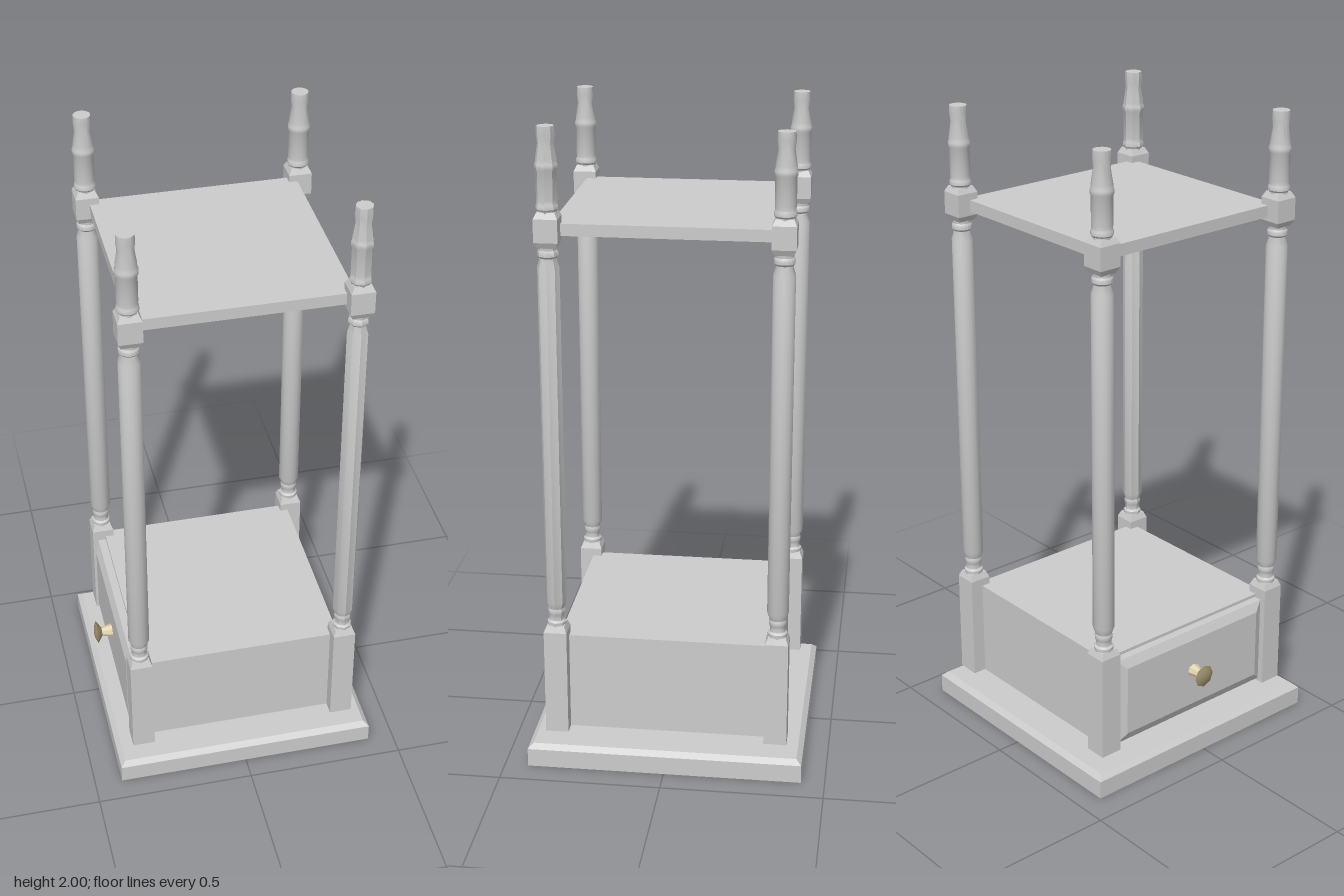
import * as THREE from 'three';
import { toCreasedNormals } from 'three/addons/utils/BufferGeometryUtils.js';

const grey = new THREE.MeshStandardMaterial({ color: 0xcccccc });
const cream = new THREE.MeshStandardMaterial({ color: 0xe0d2ac });
const brass = new THREE.MeshStandardMaterial({ color: 0xa0916c });

function add(parent, name, geometry, material = grey) {
  const mesh = new THREE.Mesh(geometry, material);
  mesh.name = name;
  parent.add(mesh);
  return mesh;
}

// Box between two heights whose top and bottom edges are bevelled.
// Bevels are [inset, height]; zero means a square edge.
function bevelBox(w, y0, y1, d, top = [0, 0], bottom = [0, 0]) {
  const geo = new THREE.BoxGeometry(w, 1, d, 1, 3, 1);
  const p = geo.attributes.position;
  const levels = [y0, y0 + bottom[1], y1 - top[1], y1];
  const insets = [bottom[0], 0, 0, top[0]];
  for (let i = 0; i < p.count; i++) {
    const k = Math.round((p.getY(i) + 0.5) * 3);
    p.setXYZ(i,
      p.getX(i) - Math.sign(p.getX(i)) * insets[k],
      levels[k],
      p.getZ(i) - Math.sign(p.getZ(i)) * insets[k]);
  }
  return toCreasedNormals(geo, 0.3);
}

function turned(profile, sides) {
  const points = profile.map(([r, y]) => new THREE.Vector2(r, y));
  return toCreasedNormals(new THREE.LatheGeometry(points, sides), 0.6);
}

// Turned column between the square blocks
const SHAFT = [
  [0.028, 0.45], [0.030, 0.462], [0.030, 0.468], [0.024, 0.474], [0.023, 0.488],
  [0.027, 0.496], [0.027, 0.506], [0.025, 0.512], [0.033, 0.535],
  [0.033, 1.59], [0.026, 1.612], [0.026, 1.618], [0.031, 1.624], [0.031, 1.636],
  [0.027, 1.642], [0.028, 1.66],
];
// Turned finial above the upper block
const FINIAL = [
  [0.028, 1.74], [0.029, 1.757], [0.033, 1.762], [0.033, 1.772], [0.030, 1.778],
  [0.031, 1.79], [0.031, 1.872], [0.034, 1.878], [0.034, 1.890], [0.031, 1.897],
  [0.031, 1.905], [0.024, 1.95], [0.027, 1.975], [0.026, 2.0], [0, 2.0],
];

function createPost(sides) {
  const post = new THREE.Group();
  post.name = 'cornerPost';
  add(post, 'legBlock', bevelBox(0.071, 0.10, 0.458, 0.071, [0.008, 0.02]));
  add(post, 'shaft', turned(SHAFT, sides));
  add(post, 'shelfBlock', bevelBox(0.071, 1.65, 1.755, 0.071, [0.009, 0.018], [0.009, 0.018]));
  add(post, 'finial', turned(FINIAL, sides));
  return post;
}

export function createModel() {
  const model = new THREE.Group();
  model.name = 'washstand';

  // Plinth
  add(model, 'base', bevelBox(0.83, 0, 0.073, 0.854, [0.016, 0.015])).position.x = 0.002;

  // Corner posts, one of them with coarser turning
  for (const sx of [-1, 1]) {
    for (const sz of [-1, 1]) {
      const post = createPost(sx > 0 && sz > 0 ? 8 : 16);
      post.position.set(0.002 + sx * 0.33, 0, sz * 0.341);
      model.add(post);
    }
  }

  // Cabinet body and upper shelf
  add(model, 'cabinet', bevelBox(0.643, 0.10, 0.413, 0.668)).position.x = 0.001;
  add(model, 'shelf', bevelBox(0.643, 1.68, 1.716, 0.668)).position.x = 0.001;

  // Drawer front with bevelled face, turned to face the left-hand side of the view
  const drawer = bevelBox(0.29, 0, 0.04, 0.605, [0.03, 0.014]);
  drawer.rotateZ(Math.PI / 2);
  add(model, 'drawerFront', drawer).position.set(-0.32, 0.258, 0);

  // Knob pointing along -x
  const knob = new THREE.Group();
  knob.name = 'drawerKnob';
  add(knob, 'knobStem', turned([[0, 0], [0.022, 0], [0.014, 0.036]], 8), cream);
  add(knob, 'knobHead', turned([[0.014, 0.034], [0.037, 0.05], [0.022, 0.057], [0, 0.061]], 8), brass);
  knob.rotation.z = Math.PI / 2;
  knob.position.set(-0.36, 0.265, 0);
  model.add(knob);

  return model;
}
